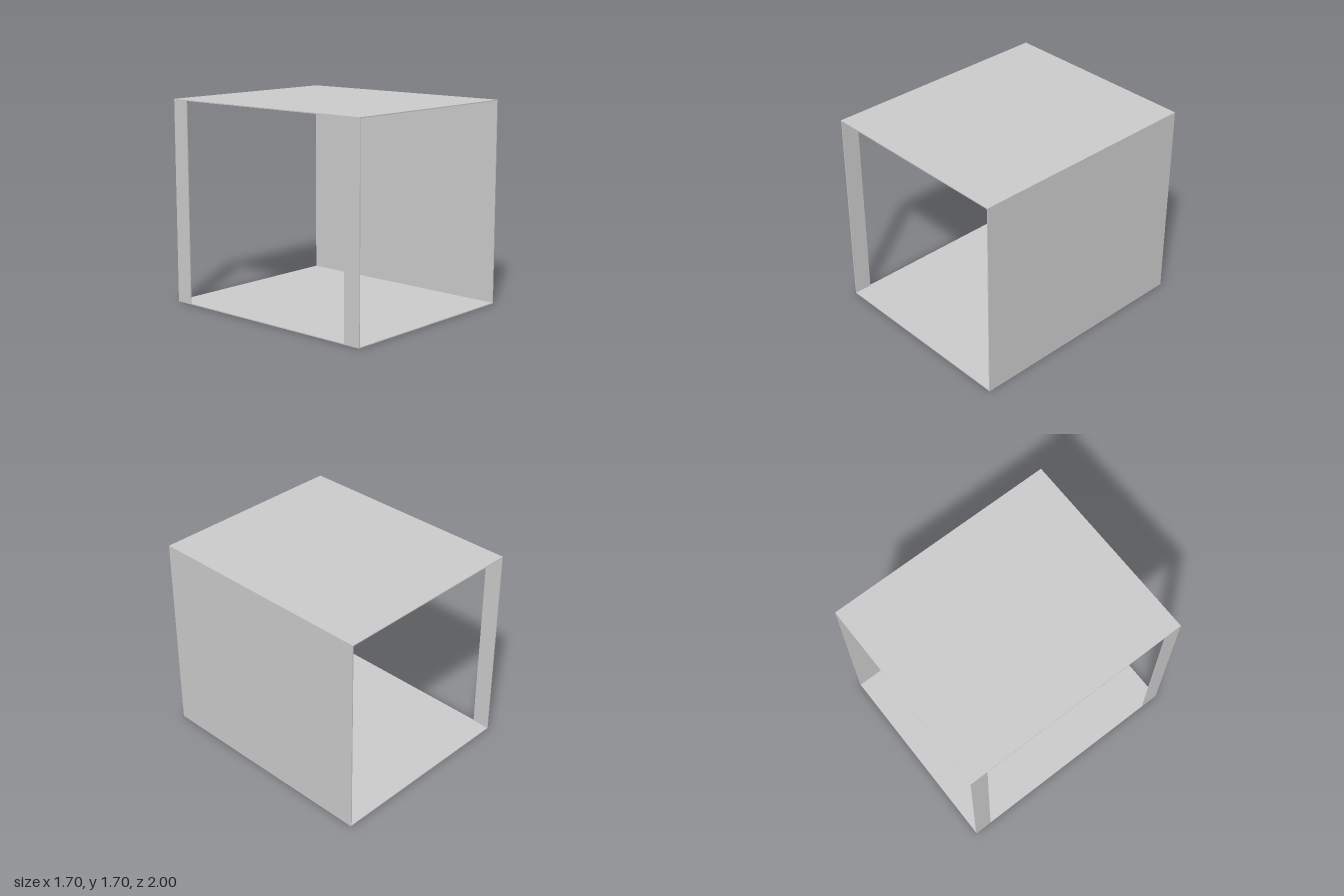
import * as THREE from 'three';

const W = 1.7, H = 1.7, D = 2, T = 0.008, POST = 0.15;

export function createModel() {
  const group = new THREE.Group();
  const material = new THREE.MeshStandardMaterial({ color: 0xcccccc, flatShading: true });

  function panel(name, w, h, d, x, y, z) {
    const mesh = new THREE.Mesh(new THREE.BoxGeometry(w, h, d), material);
    mesh.name = name;
    mesh.position.set(x, y, z);
    group.add(mesh);
  }

  // Floor and roof
  panel('floor', W, T, D, 0, T / 2, 0);
  panel('roof', W, T, D, 0, H - T / 2, 0);

  // Solid wall on one side, between floor and roof
  const wallX = (W - T) / 2, wallH = H - 2 * T;
  panel('sideWall', T, wallH, D, wallX, H / 2, 0);

  // Two narrow corner strips on the open side
  for (const [name, s] of [['frontPost', 1], ['backPost', -1]]) {
    panel(name, T, wallH, POST, -wallX, H / 2, s * (D - POST) / 2);
  }
  return group;
}
